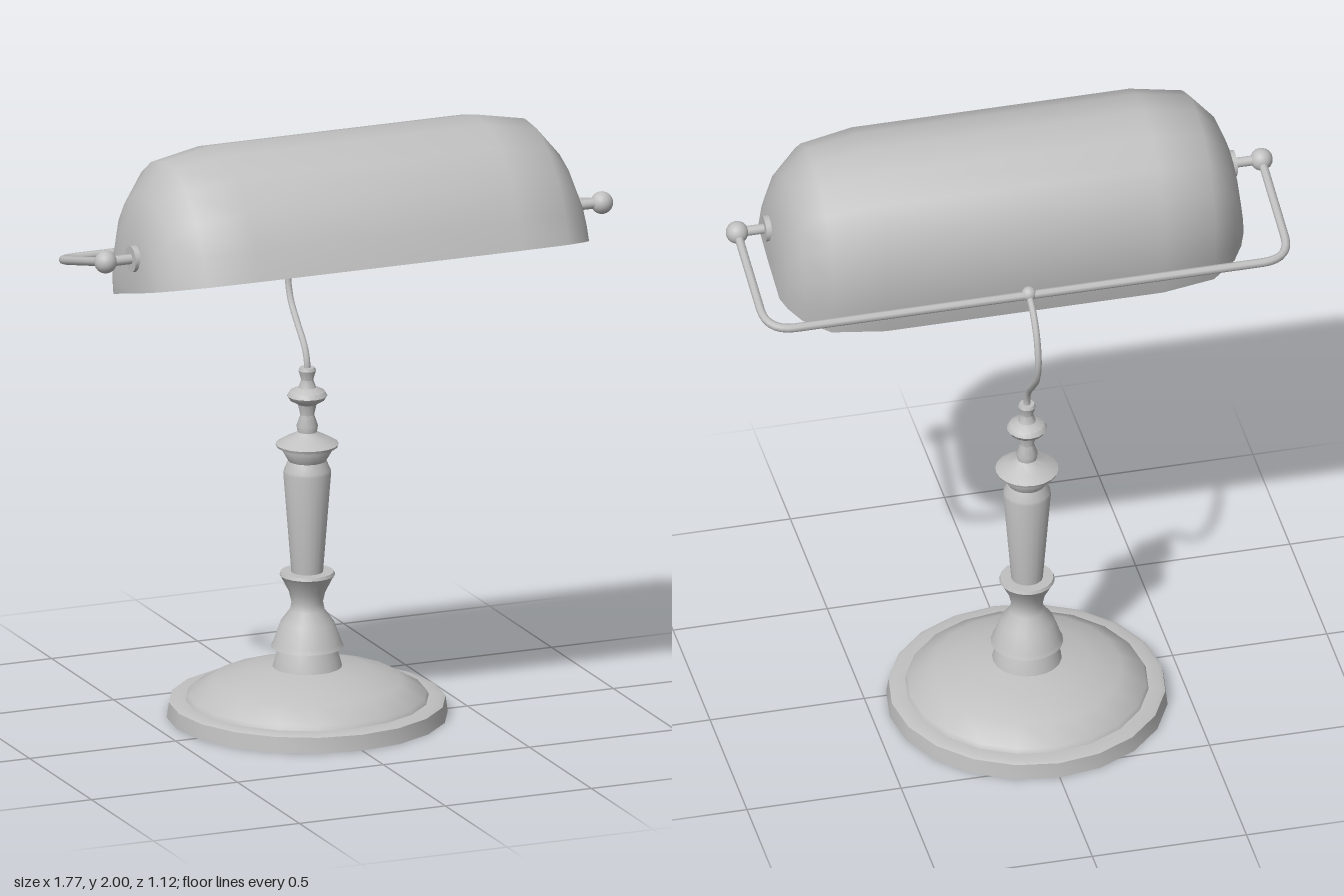
import * as THREE from 'three';
import { toCreasedNormals } from 'three/addons/utils/BufferGeometryUtils.js';

const metal = new THREE.MeshStandardMaterial({ color: 0xc0c0c0, side: THREE.DoubleSide });
metal.name = 'lampGrey';

function part(name, geometry, x = 0, y = 0, z = 0) {
  const mesh = new THREE.Mesh(geometry, metal);
  mesh.name = name;
  mesh.position.set(x, y, z);
  return mesh;
}

const STAND_Z = -0.115;

function turned(name, profile, segments = 20) {
  const points = profile.map(([r, y]) => new THREE.Vector2(r, y));
  return part(name, toCreasedNormals(new THREE.LatheGeometry(points, segments), 0.65), 0, 0, STAND_Z);
}

// Shade: arched sections lofted along x, with an inner skin and a rim joining both
function shadeGeometry() {
  const half = [[1, 0], [0.975, 0.22], [0.885, 0.5], [0.7, 0.745], [0.45, 0.915], [0.16, 0.995]];
  const arch = [...half, ...half.slice().reverse().map(([a, b]) => [-a, b])];
  // [x, half depth, height]
  const end = [[0.45, 0.337, 0.437], [0.62, 0.312, 0.405], [0.70, 0.25, 0.305],
    [0.735, 0.195, 0.21], [0.752, 0.15, 0.1], [0.753, 0, 0]];
  const sections = [...end.slice().reverse().map(([x, d, h]) => [-x, d, h]), ...end];
  const n = arch.length, skin = sections.length * n, wall = 0.012;
  const positions = [], index = [];
  for (const t of [0, wall]) {
    for (const [x, d, h] of sections) {
      const sx = x - Math.sign(x) * t, sd = Math.max(0, d - t), sh = Math.max(0, h - t);
      for (const [a, b] of arch) positions.push(sx, b * sh, a * sd);
    }
  }
  const quad = (a, b, c, d) => index.push(a, b, c, b, d, c);
  for (let i = 0; i < sections.length - 1; i++) {
    const p = i * n, q = p + n, l = n - 1;
    for (let j = 0; j < l; j++) {
      quad(p + j, q + j, p + j + 1, q + j + 1);
      quad(skin + p + j, skin + p + j + 1, skin + q + j, skin + q + j + 1);
    }
    quad(p, skin + p, q, skin + q);
    quad(p + l, q + l, skin + p + l, skin + q + l);
  }
  const g = new THREE.BufferGeometry();
  g.setAttribute('position', new THREE.Float32BufferAttribute(positions, 3));
  g.setIndex(index);
  return toCreasedNormals(g, 0.9);
}

export function createModel() {
  const lamp = new THREE.Group();
  lamp.name = 'deskLamp';

  // Turned stand, from the foot up
  lamp.add(turned('base', [[0, 0], [0.445, 0], [0.438, 0.05], [0.425, 0.056], [0.385, 0.056], [0.378, 0.07],
    [0.30, 0.115], [0.2, 0.145], [0.11, 0.16], [0.102, 0.19], [0.088, 0.225]]));
  lamp.add(turned('lowerCollar', [[0.07, 0.222], [0.115, 0.225], [0.108, 0.24], [0.085, 0.305], [0.055, 0.345],
    [0.05, 0.37], [0.058, 0.405], [0.082, 0.452], [0.088, 0.46], [0.084, 0.47], [0.04, 0.47]]));
  lamp.add(turned('column', [[0.05, 0.465], [0.076, 0.795], [0.074, 0.805], [0.06, 0.835], [0.08, 0.87], [0.08, 0.88]]));
  lamp.add(turned('capDisc', [[0.06, 0.875], [0.097, 0.882], [0.1, 0.89], [0.07, 0.908], [0.035, 0.925], [0.03, 0.93]]));
  lamp.add(turned('finial', [[0.03, 0.925], [0.034, 0.95], [0.022, 0.985], [0.03, 1.02], [0.056, 1.035], [0.064, 1.048],
    [0.056, 1.062], [0.028, 1.075], [0.019, 1.1], [0.028, 1.13], [0.024, 1.14], [0, 1.14]], 16));

  // Curved neck rising to the yoke
  const neck = new THREE.CatmullRomCurve3([[1.12, -0.115], [1.16, -0.117], [1.205, -0.138], [1.265, -0.195],
    [1.33, -0.25], [1.40, -0.27], [1.485, -0.25], [1.55, -0.2], [1.585, -0.14]]
    .map(([y, z]) => new THREE.Vector3(0, y, z)));
  lamp.add(part('neck', new THREE.TubeGeometry(neck, 40, 0.011, 8)));
  lamp.add(part('neckJoint', new THREE.SphereGeometry(0.024, 14, 10), 0, 1.585, -0.142));

  // U-shaped yoke with rounded corners
  const v = (x, y, z) => new THREE.Vector3(x, y, z);
  const yoke = new THREE.CurvePath();
  const inner = 0.755, bend = -0.055, backY = 1.583, bendY = 1.605, backZ = -0.147, side = 0.85;
  yoke.add(new THREE.LineCurve3(v(-side, 1.685, 0.26), v(-side, bendY, bend)));
  yoke.add(new THREE.QuadraticBezierCurve3(v(-side, bendY, bend), v(-side, backY, backZ), v(-inner, backY, backZ)));
  yoke.add(new THREE.LineCurve3(v(-inner, backY, backZ), v(inner, backY, backZ)));
  yoke.add(new THREE.QuadraticBezierCurve3(v(inner, backY, backZ), v(side, backY, backZ), v(side, bendY, bend)));
  yoke.add(new THREE.LineCurve3(v(side, bendY, bend), v(side, 1.685, 0.26)));
  lamp.add(part('yoke', new THREE.TubeGeometry(yoke, 120, 0.014, 8)));

  // Pivots on both ends of the shade
  for (const s of [-1, 1]) {
    const pivot = new THREE.Group();
    pivot.name = s > 0 ? 'leftPivot' : 'rightPivot';
    pivot.position.set(0, 1.685, 0.26);
    pivot.add(part('pivotBall', new THREE.SphereGeometry(0.036, 18, 12), s * 0.85));
    const discs = [['pivotPin', 0.016, 0.12, 0.79], ['outerWasher', 0.042, 0.018, 0.755], ['innerWasher', 0.034, 0.024, 0.72]];
    for (const [name, r, length, x] of discs) {
      const g = new THREE.CylinderGeometry(r, r, length, 16);
      g.rotateZ(Math.PI / 2);
      pivot.add(part(name, g, s * x));
    }
    lamp.add(pivot);
  }

  // Tilted shade
  const shade = part('shade', shadeGeometry(), 0, 1.565, 0.24);
  shade.rotation.x = -0.272;
  lamp.add(shade);
  return lamp;
}
